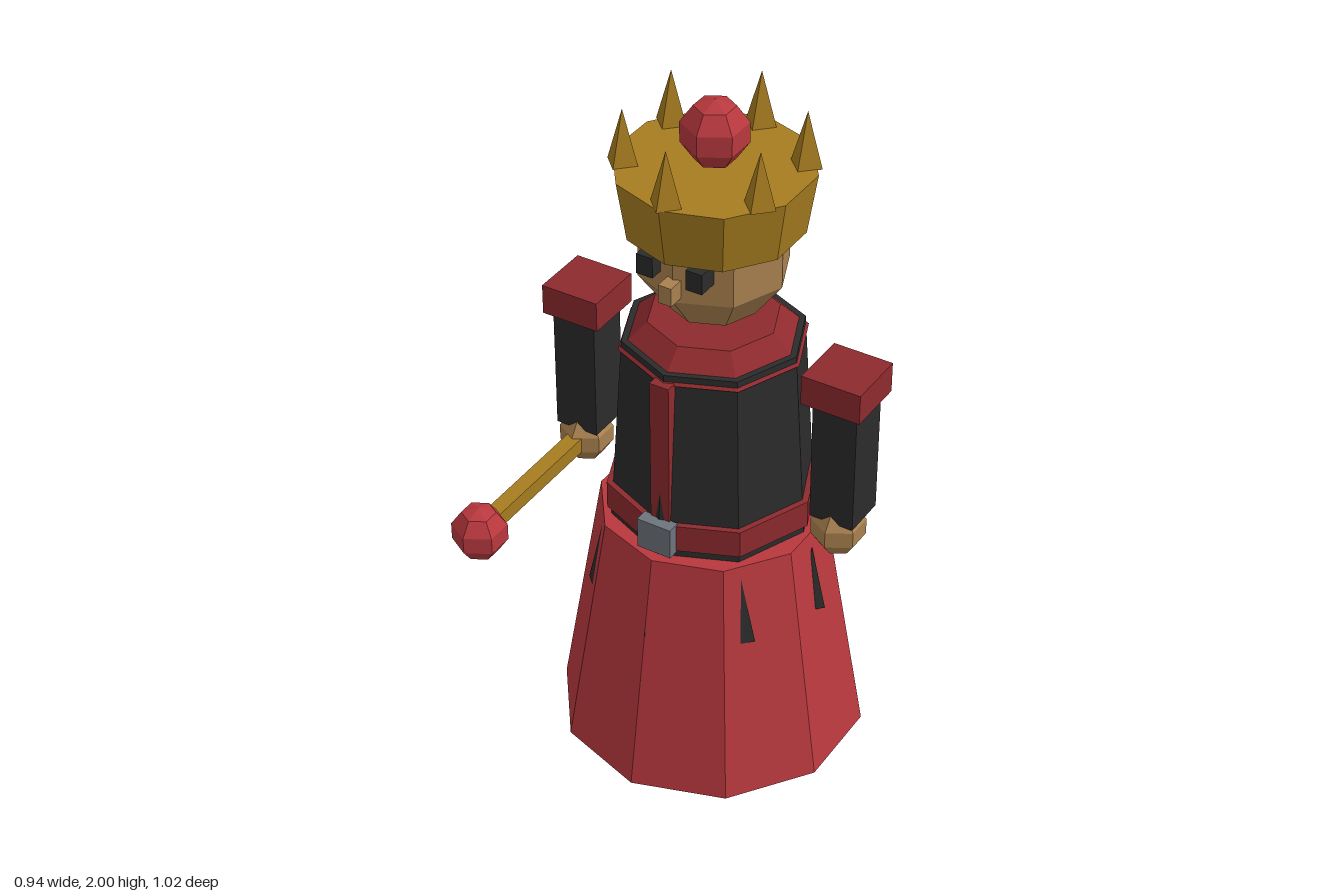
import * as THREE from 'three';

const mat = (name, color) => {
  const m = new THREE.MeshStandardMaterial({ color, flatShading: true });
  m.name = name;
  return m;
};

export function createModel() {
  const crimson = mat('crimson', 0xb8383e);
  const maroon = mat('maroon', 0x8e2a2e);
  const black = mat('black', 0x2b2b2b);
  const gold = mat('gold', 0xa67c20);
  const skin = mat('skin', 0xa9814f);
  const steel = mat('steel', 0x6e747c);

  const model = new THREE.Group();
  model.name = 'king';
  const Z = -0.085; // body axis

  const add = (name, geometry, material, x, y, z) => {
    const mesh = new THREE.Mesh(geometry, material);
    mesh.name = name;
    mesh.position.set(x, y, z);
    model.add(mesh);
    return mesh;
  };
  // box given by its min and max corners
  const box = (name, material, [x0, y0, z0], [x1, y1, z1]) =>
    add(name, new THREE.BoxGeometry(x1 - x0, y1 - y0, z1 - z0), material,
      (x0 + x1) / 2, (y0 + y1) / 2, (z0 + z1) / 2);
  // frustum standing between two heights
  const frustum = (name, material, rTop, rBottom, y0, y1, sides, x = 0, z = Z) =>
    add(name, new THREE.CylinderGeometry(rTop, rBottom, y1 - y0, sides), material, x, (y0 + y1) / 2, z);
  // faceted ball with corners toward the front and back
  const ball = (name, material, r, sides, x, y, z) =>
    add(name, new THREE.SphereGeometry(r, sides, 5).rotateY(Math.PI / 2), material, x, y, z);
  // ring of upright four-sided spikes
  const spikes = (name, material, count, ring, r, y0, y1) => {
    for (let i = 0; i < count; i++) {
      const a = (i / count) * Math.PI * 2;
      add(name, new THREE.ConeGeometry(r, y1 - y0, 4), material,
        Math.sin(a) * ring, (y0 + y1) / 2, Z + Math.cos(a) * ring);
    }
  };

  // robe and coat
  frustum('skirt', crimson, 0.31, 0.427, 0.08, 0.78, 10);
  spikes('skirtSpot', black, 8, 0.305, 0.045, 0.55, 0.74);
  frustum('torso', black, 0.243, 0.279, 0.77, 1.33, 8);
  frustum('belt', maroon, 0.289, 0.289, 0.805, 0.885, 8);
  frustum('collar', maroon, 0.175, 0.252, 1.305, 1.378, 8);
  box('frontStripe', maroon, [-0.028, 0.885, 0.1], [0.028, 1.31, 0.181]);
  box('buckle', steel, [-0.05, 0.8, 0.175], [0.05, 0.89, 0.213]);

  // limbs, mirrored
  for (const s of [-1, 1]) {
    const side = s > 0 ? 'left' : 'right';
    const mirrored = (name, m, w, h, d, x, y, z) =>
      add(side + name, new THREE.BoxGeometry(w, h, d), m, s * x, y, z);
    mirrored('Boot', black, 0.19, 0.12, 0.28, 0.155, 0.06, -0.04);
    mirrored('Arm', black, 0.126, 0.4, 0.126, 0.391, 1.1, Z);
    mirrored('ShoulderPad', maroon, 0.168, 0.086, 0.168, 0.388, 1.302, Z);
    mirrored('Eye', black, 0.047, 0.057, 0.07, 0.071, 1.616, 0.095);
    ball(side + 'Hand', skin, 0.076, 6, s * 0.39, 0.86, -0.067);
  }

  // sceptre in the right hand
  box('sceptreRod', gold, [-0.412, 0.838, -0.06], [-0.368, 0.882, 0.42]);
  ball('sceptreOrb', crimson, 0.077, 6, -0.39, 0.86, 0.437);

  // head
  ball('head', skin, 0.207, 8, 0, 1.587, Z);
  box('nose', skin, [-0.019, 1.538, 0.08], [0.019, 1.59, 0.15]);

  // crown
  frustum('crown', gold, 0.26, 0.234, 1.655, 1.822, 10);
  spikes('crownSpike', gold, 6, 0.225, 0.045, 1.82, 1.97);
  ball('crownOrb', crimson, 0.091, 6, 0, 1.909, Z);

  return model;
}
